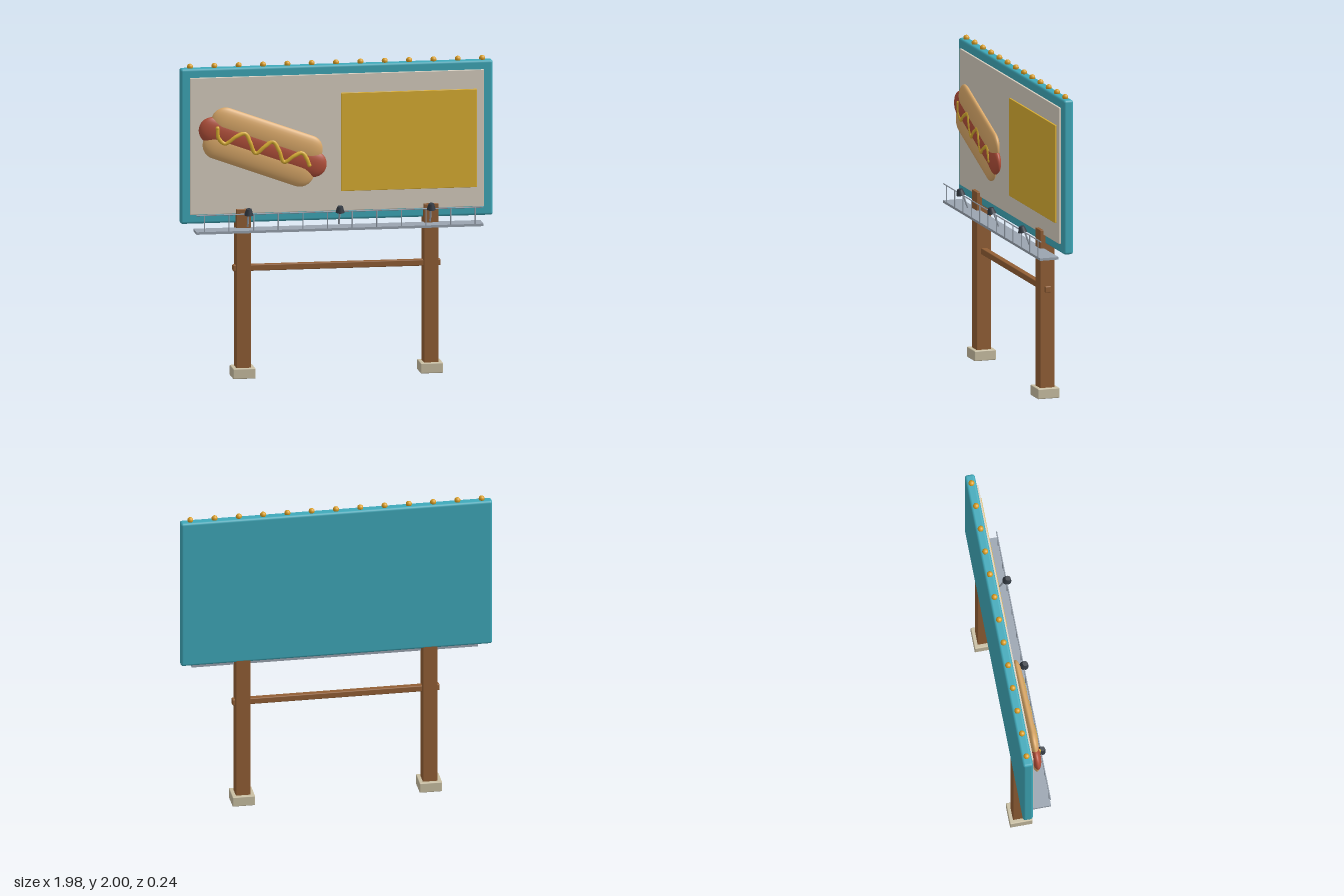
import * as THREE from 'three';
import { RoundedBoxGeometry } from 'three/addons/geometries/RoundedBoxGeometry.js';

const mat = (name, color) => {
  const m = new THREE.MeshStandardMaterial({ color });
  m.name = name;
  return m;
};

export function createModel() {
  const teal = mat('teal paint', 0x3fa9ba);
  const cream = mat('cream board', 0xd9d0c1);
  const yellow = mat('mustard yellow', 0xdcb032);
  const amber = mat('amber bulb', 0xdb9f25);
  const wood = mat('brown wood', 0x925f35);
  const concrete = mat('concrete', 0xc9bfa3);
  const metal = mat('grey metal', 0x9aa4b0);
  const dark = mat('dark metal', 0x343b44);
  const red = mat('sausage red', 0xb3503a);
  const bun = mat('bun tan', 0xdcaa6a);

  const model = new THREE.Group();
  model.name = 'billboard';

  const add = (name, geo, material, x = 0, y = 0, z = 0, parent = model) => {
    const m = new THREE.Mesh(geo, material);
    m.name = name;
    m.position.set(x, y, z);
    parent.add(m);
    return m;
  };
  // Box given by its limits on each axis, with softened edges
  const block = (name, material, [x0, x1], [y0, y1], [z0, z1], r = 0) => {
    const s = [x1 - x0, y1 - y0, z1 - z0];
    const geo = r ? new RoundedBoxGeometry(...s, 3, r) : new THREE.BoxGeometry(...s);
    return add(name, geo, material, (x0 + x1) / 2, (y0 + y1) / 2, (z0 + z1) / 2);
  };
  // Round bar between two points
  const bar = (name, material, a, b, r, parent = model) => {
    const p = new THREE.Vector3(...a), q = new THREE.Vector3(...b);
    const d = q.clone().sub(p);
    const m = add(name, new THREE.CylinderGeometry(r, r, d.length(), 10), material, 0, 0, 0, parent);
    m.position.copy(p).add(q).multiplyScalar(0.5);
    m.quaternion.setFromUnitVectors(new THREE.Vector3(0, 1, 0), d.normalize());
    return m;
  };

  // Sign board
  block('frame', teal, [-0.988, 0.988], [0.985, 1.972], [-0.101, -0.037], 0.016);
  block('poster', cream, [-0.93, 0.93], [1.045, 1.915], [-0.045, -0.024], 0.003);
  block('yellowPanel', yellow, [0.023, 0.883], [1.17, 1.795], [-0.026, -0.013], 0.003);

  // Row of bulbs along the top
  for (let i = 0; i < 13; i++) {
    add('bulb', new THREE.SphereGeometry(0.019, 16, 12), amber, -0.924 + i * 0.154, 1.981, -0.068);
  }

  // Posts, footings and cross beam
  for (const s of [-1, 1]) {
    const x = s * 0.593;
    block('post', wood, [x - 0.047, x + 0.047], [0.04, 1.075], [-0.1, -0.003], 0.004);
    block('footing', concrete, [x - 0.072, x + 0.072], [0, 0.066], [-0.123, 0.021], 0.006);
  }
  block('crossBeam', wood, [-0.657, 0.657], [0.676, 0.716], [-0.071, -0.031], 0.006);

  // Catwalk with railing
  block('catwalk', metal, [-0.908, 0.908], [0.941, 0.957], [-0.03, 0.092]);
  bar('rail', metal, [-0.908, 1.062, 0.088], [0.908, 1.062, 0.088], 0.004);
  for (let i = 0; i < 12; i++) {
    const x = -0.857 + i * 0.1558;
    bar('railPost', metal, [x, 0.955, 0.088], [x, 1.062, 0.088], 0.004);
  }

  // Flood lamps leaning out in front of the board
  for (const x of [-0.577, 0, 0.577]) {
    const lamp = new THREE.Group();
    lamp.name = 'lamp';
    lamp.position.x = x;
    model.add(lamp);
    bar('lampArm', metal, [0, 0.975, 0.046], [0, 1.075, 0.083], 0.006, lamp);
    const head = add('lampHead', new THREE.CylinderGeometry(0.017, 0.029, 0.038, 18), dark, 0, 1.077, 0.095, lamp);
    head.rotation.x = 0.2;
  }

  // Hot dog relief, in its own tilted frame
  const hotDog = new THREE.Group();
  hotDog.name = 'hotDog';
  hotDog.position.set(-0.477, 1.472, 0.01);
  hotDog.rotation.z = -0.35;
  model.add(hotDog);
  const pill = (name, material, r, length, y, z, depth) => {
    const geo = new THREE.CapsuleGeometry(r, length, 12, 28);
    geo.rotateZ(Math.PI / 2);
    geo.scale(1, 1, depth / r);
    return add(name, geo, material, 0, y, z, hotDog);
  };
  pill('upperBun', bun, 0.09, 0.56, 0.078, 0.005, 0.029);
  pill('lowerBun', bun, 0.09, 0.56, -0.078, 0.005, 0.029);
  pill('sausage', red, 0.083, 0.685, 0, 0.006, 0.03);

  // Mustard squiggle
  const path = [
    [-0.318, 0.025], [-0.29, -0.03], [-0.24, -0.052], [-0.19, 0.01], [-0.14, 0.048], [-0.09, 0.005],
    [-0.035, -0.048], [0.005, 0.01], [0.045, 0.055], [0.1, 0.015], [0.155, -0.043], [0.2, 0.01],
    [0.245, 0.046], [0.285, 0.02], [0.314, -0.012],
  ].map(([x, y]) => new THREE.Vector3(x, y, 0.034 - 1.6 * y * y));
  const curve = new THREE.CatmullRomCurve3(path);
  const squiggle = new THREE.TubeGeometry(curve, 120, 0.014, 10);
  squiggle.scale(1, 1, 0.9);
  add('mustard', squiggle, yellow, 0, 0, 0, hotDog);
  for (const p of [path[0], path[path.length - 1]]) {
    add('mustardEnd', new THREE.SphereGeometry(0.014, 12, 8), yellow, p.x, p.y, p.z * 0.9, hotDog);
  }

  return model;
}
